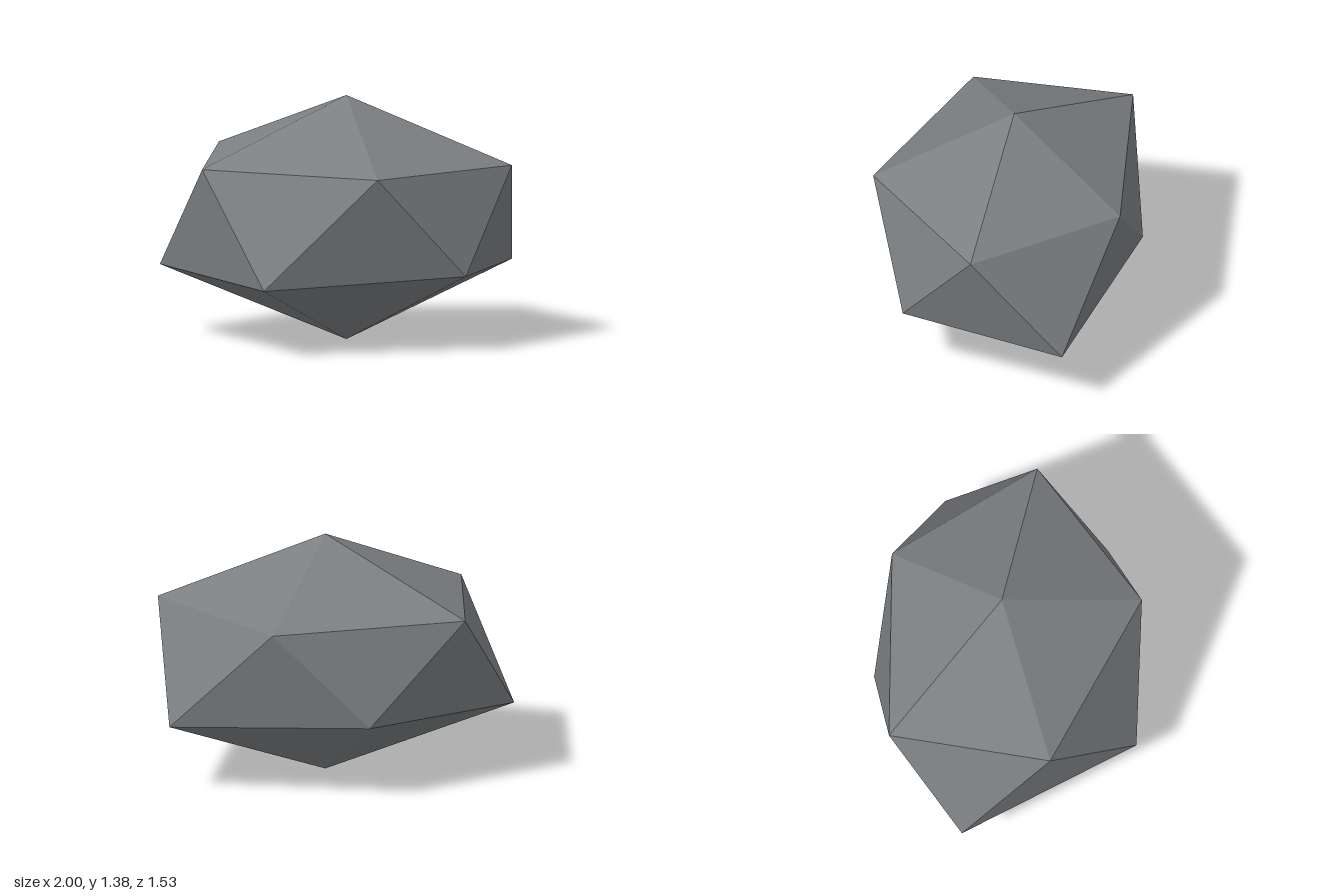
import * as THREE from 'three';

// A faceted boulder: two poles and two staggered five-point rings.
export function createModel() {
  const stone = new THREE.MeshStandardMaterial({ color: 0x7b7f82 });
  stone.name = 'stone grey';

  const top = [0.06, 1.385, -0.08];
  const bottom = [0.06, 0, -0.08];
  const upper = [
    [1, 1.01, -0.08], [0.355, 1.02, 0.66], [-0.69, 1.01, 0.36],
    [-0.74, 1.03, -0.555], [0.335, 1, -0.77],
  ];
  const lower = [
    [0.81, 0.44, 0.365], [-0.275, 0.39, 0.765], [-1, 0.4, -0.08],
    [-0.21, 0.455, -0.755], [0.92, 0.4, -0.59],
  ];

  // Cap, two side triangles and base for each fifth
  const corners = [];
  for (let i = 0; i < 5; i++) {
    const j = (i + 1) % 5;
    corners.push(
      top, upper[j], upper[i],
      upper[j], lower[i], upper[i],
      lower[j], lower[i], upper[j],
      bottom, lower[i], lower[j],
    );
  }

  // Unshared corners give flat facets
  const geometry = new THREE.BufferGeometry();
  geometry.setAttribute('position', new THREE.Float32BufferAttribute(corners.flat(), 3));
  geometry.computeVertexNormals();

  const boulder = new THREE.Mesh(geometry, stone);
  boulder.name = 'boulder';
  const group = new THREE.Group();
  group.name = 'rock';
  group.add(boulder);
  return group;
}
